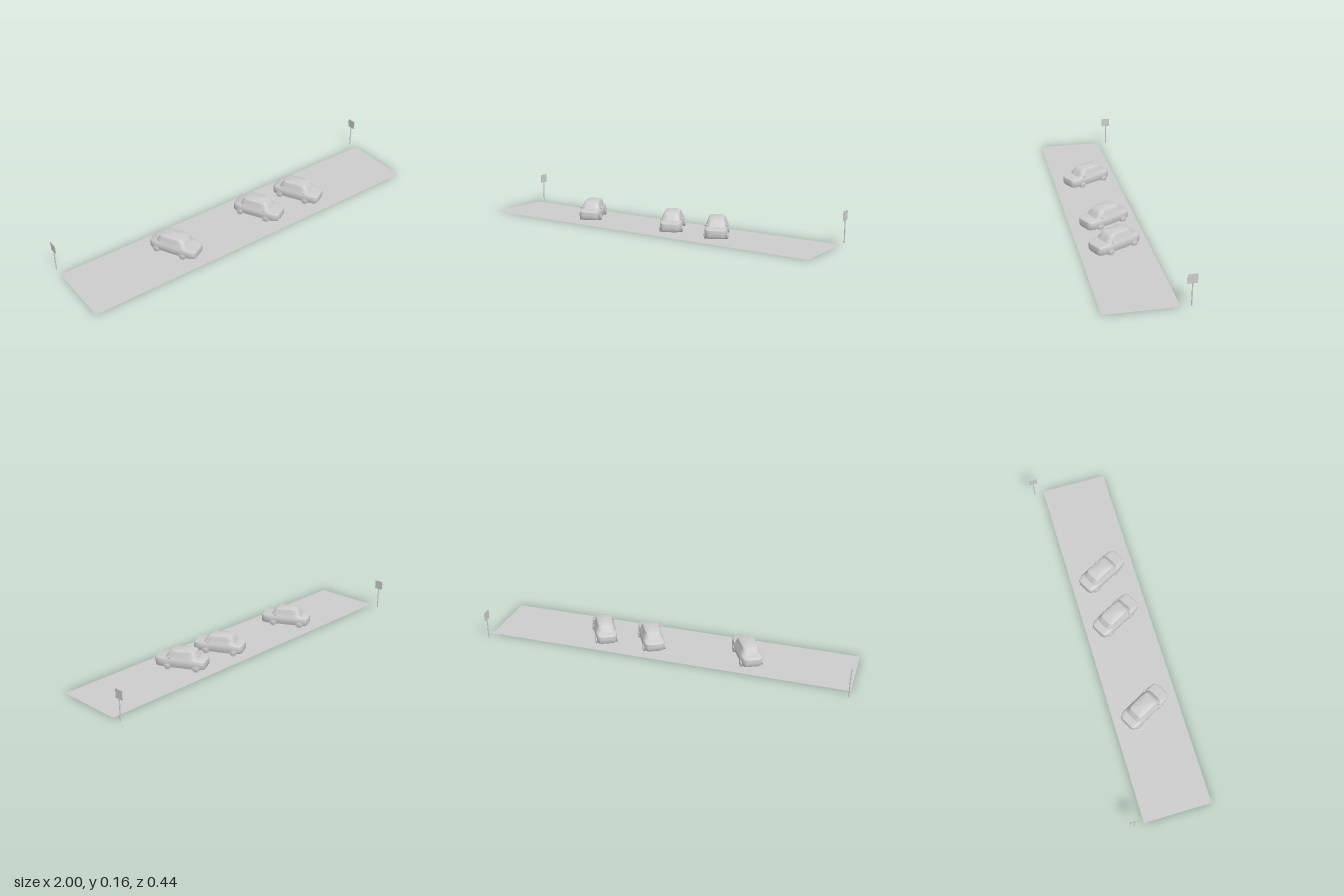
import * as THREE from 'three';
import { toCreasedNormals } from 'three/addons/utils/BufferGeometryUtils.js';

const grey = new THREE.MeshStandardMaterial({ color: 0xcccccc });
const thin = new THREE.MeshStandardMaterial({ color: 0xcccccc, side: THREE.DoubleSide });

function part(name, geometry, parent, x = 0, y = 0, z = 0, material = grey) {
  const mesh = new THREE.Mesh(geometry, material);
  mesh.name = name;
  mesh.position.set(x, y, z);
  parent.add(mesh);
  return mesh;
}

// Stack of rounded-rectangle rings: [rear z, front z, half width, height]
function loft(rings, sides = 48, power = 6) {
  const pos = [], index = [];
  for (const [z0, z1, hw, y] of rings) {
    for (let i = 0; i < sides; i++) {
      const a = ((i + 0.5) / sides) * Math.PI * 2, c = Math.cos(a), s = Math.sin(a);
      const r = (Math.abs(c) ** power + Math.abs(s) ** power) ** (-1 / power);
      pos.push(hw * r * c, y, (z0 + z1) / 2 + ((z1 - z0) / 2) * r * s);
    }
  }
  for (let j = 0; j < rings.length - 1; j++) {
    for (let i = 0; i < sides; i++) {
      const a = j * sides + i, b = j * sides + ((i + 1) % sides);
      index.push(a, a + sides, b, b, a + sides, b + sides);
    }
  }
  const g = new THREE.BufferGeometry();
  g.setAttribute('position', new THREE.Float32BufferAttribute(pos, 3));
  g.setIndex(index);
  return toCreasedNormals(g, 0.65);
}

const bodyGeometry = loft([
  [-0.014, -0.012, 0.001, 0.013], // underside
  [-0.130, 0.130, 0.054, 0.013],
  [-0.135, 0.135, 0.057, 0.020], // sides
  [-0.136, 0.136, 0.058, 0.038],
  [-0.134, 0.134, 0.057, 0.054],
  [-0.130, 0.130, 0.055, 0.058], // bonnet and boot
  [-0.095, 0.078, 0.052, 0.063], // window line
  [-0.085, 0.066, 0.047, 0.082],
  [-0.076, 0.054, 0.041, 0.098], // roof
  [-0.068, 0.046, 0.036, 0.101],
  [-0.013, -0.009, 0.001, 0.106],
]);
const wheelGeometry = new THREE.CylinderGeometry(0.019, 0.019, 0.016, 24).rotateZ(Math.PI / 2);
const hubGeometry = new THREE.SphereGeometry(0.013, 16, 8).scale(0.25, 1, 1);
const mirrorGeometry = new THREE.SphereGeometry(0.006, 12, 8);

function createCar() {
  const car = new THREE.Group();
  car.name = 'car';
  part('body', bodyGeometry, car);
  for (const side of [-1, 1]) {
    for (const [name, z] of [['frontWheel', 0.064], ['rearWheel', -0.089]]) {
      part(name, wheelGeometry, car, side * 0.052, 0.019, z);
      part(name + 'Hub', hubGeometry, car, side * 0.06, 0.019, z);
    }
    part('wingMirror', mirrorGeometry, car, side * 0.055, 0.068, 0.054);
  }
  return car;
}

export function createModel() {
  const model = new THREE.Group();
  model.name = 'parkingStrip';

  // Ground strip
  part('pavement', new THREE.PlaneGeometry(2, 0.365).rotateX(-Math.PI / 2), model, 0, 0.0006, 0.0375, thin);

  // Cars parked at a slant
  for (const x of [-0.42, 0.12, 0.395]) {
    const car = createCar();
    car.position.set(x, 0, 0.035);
    car.rotation.y = THREE.MathUtils.degToRad(28);
    model.add(car);
  }

  // Sign at each end
  for (const side of [-1, 1]) {
    const sign = new THREE.Group();
    sign.name = 'sign';
    sign.position.set(side * 0.997, 0, -0.196);
    part('post', new THREE.CylinderGeometry(0.003, 0.003, 0.115, 12), sign, 0, 0.0575, 0);
    part('plate', new THREE.BoxGeometry(0.003, 0.048, 0.048), sign, 0, 0.139, 0);
    model.add(sign);
  }
  return model;
}
